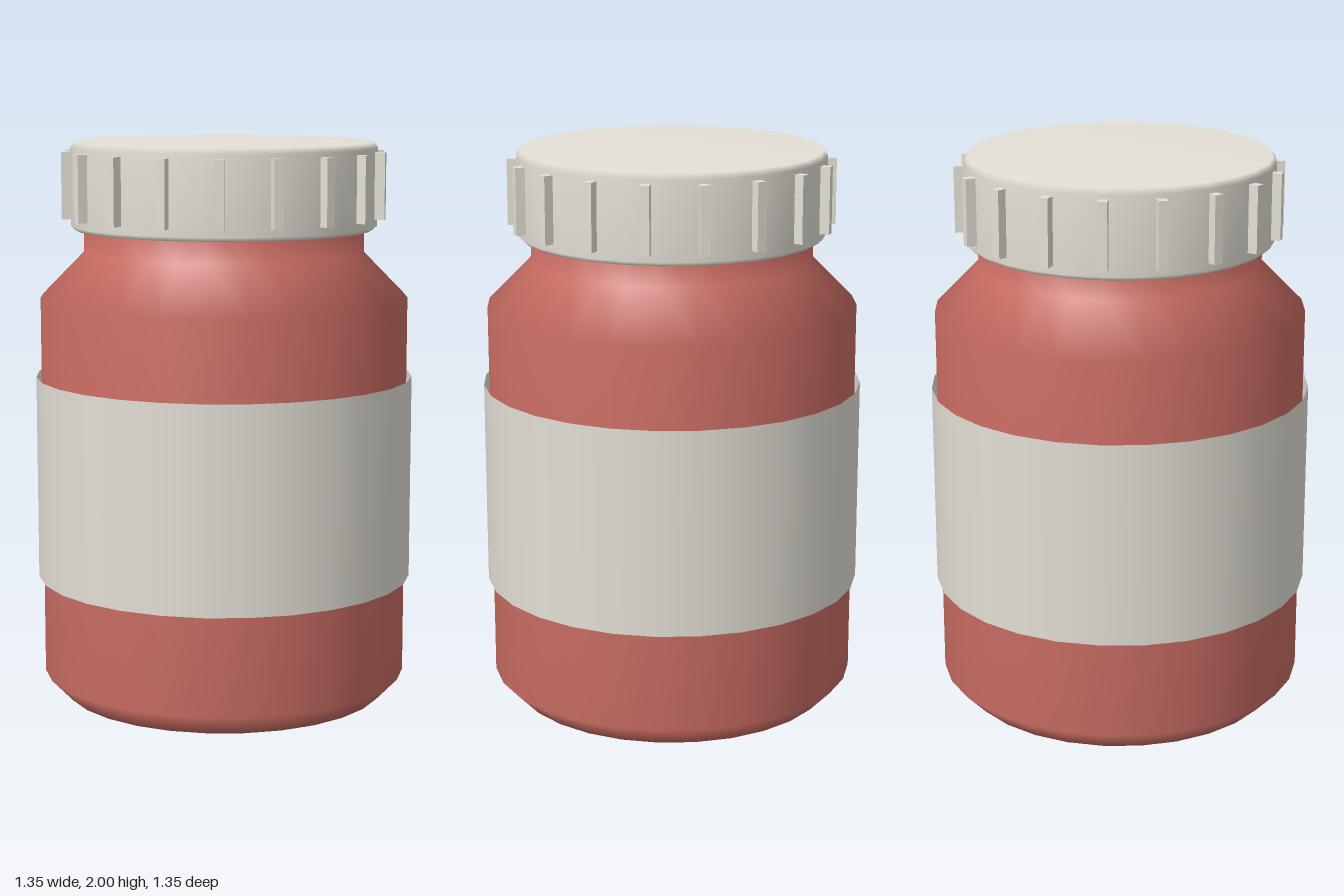
import * as THREE from 'three';

const SIDES = 28;

export function createModel() {
  const jar = new THREE.Group();
  jar.name = 'jar';

  const red = new THREE.MeshStandardMaterial({ color: 0xc86c62 });
  red.name = 'red plastic';
  const white = new THREE.MeshStandardMaterial({ color: 0xe4e0d6 });
  white.name = 'warm white';
  const paper = new THREE.MeshStandardMaterial({ color: 0xe2ded5, side: THREE.DoubleSide });
  paper.name = 'label paper';

  const add = (name, geometry, material, parent = jar) => {
    const mesh = new THREE.Mesh(geometry, material);
    mesh.name = name;
    parent.add(mesh);
    return mesh;
  };
  const lathe = (profile) =>
    new THREE.LatheGeometry(profile.map(([r, y]) => new THREE.Vector2(r, y)), SIDES);

  // Bottle with chamfered foot, sloping shoulder and straight neck
  add('body', lathe([
    [0, 0], [0.58, 0], [0.657, 0.08], [0.657, 1.45], [0.5, 1.61], [0.5, 1.75],
  ]), red);

  // Open paper band wrapped around the body
  const label = add('label', new THREE.CylinderGeometry(0.676, 0.676, 0.73, SIDES, 1, true), paper);
  label.position.y = 0.8;

  // Screw cap with softened rims
  const cap = new THREE.Group();
  cap.name = 'cap';
  jar.add(cap);
  add('lid', lathe([
    [0.49, 1.69], [0.53, 1.69], [0.546, 1.705], [0.546, 1.98], [0.533, 2], [0, 2],
  ]), white, cap);

  // Grip ribs around the cap
  const ribGeometry = new THREE.BoxGeometry(0.036, 0.235, 0.033);
  const ribCount = 18;
  for (let i = 0; i < ribCount; i++) {
    const angle = (i / ribCount) * Math.PI * 2;
    const rib = add('gripRib', ribGeometry, white, cap);
    rib.position.set(Math.cos(angle) * 0.56, 1.848, Math.sin(angle) * 0.56);
    rib.rotation.y = -angle;
  }

  return jar;
}
